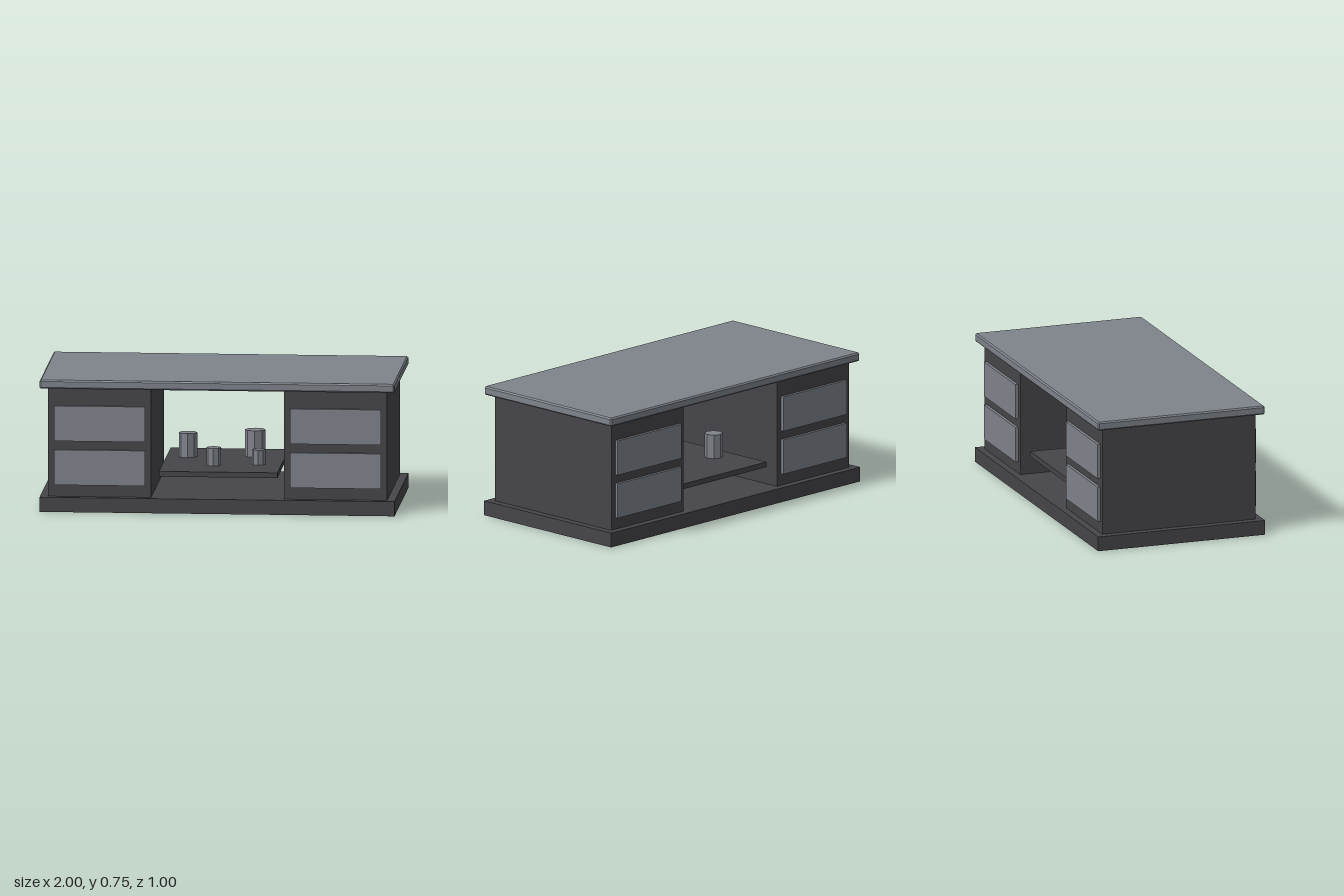
import * as THREE from 'three';
import { ConvexGeometry } from 'three/addons/geometries/ConvexGeometry.js';

// Box with a flat chamfer on every edge
function chamferedBox(w, h, d, c) {
  const half = [w / 2, h / 2, d / 2];
  const points = [];
  for (const sx of [-1, 1]) for (const sy of [-1, 1]) for (const sz of [-1, 1])
    for (let axis = 0; axis < 3; axis++) {
      const p = half.map((v, i) => (i === axis ? v : v - c));
      points.push(new THREE.Vector3(p[0] * sx, p[1] * sy, p[2] * sz));
    }
  return new ConvexGeometry(points);
}

export function createModel() {
  const model = new THREE.Group();
  model.name = 'coffeeTable';

  const darkWood = new THREE.MeshStandardMaterial({ color: 0x464549 });
  darkWood.name = 'darkCharcoal';
  const greyPanel = new THREE.MeshStandardMaterial({ color: 0x7f838b });
  greyPanel.name = 'slateGrey';

  const add = (name, geometry, material, x, y, z) => {
    const mesh = new THREE.Mesh(geometry, material);
    mesh.name = name;
    mesh.position.set(x, y, z);
    model.add(mesh);
    return mesh;
  };
  const box = (name, material, w, h, d, x, y, z) =>
    add(name, new THREE.BoxGeometry(w, h, d), material, x, y, z);

  // Plinth and bevelled table top
  box('base', darkWood, 2, 0.083, 1, 0, 0.0415, 0);
  add('tableTop', chamferedBox(2, 0.05, 1, 0.008), greyPanel, 0, 0.725, 0);

  // Cabinets with two drawer fronts on both long sides
  for (const side of [-1, 1]) {
    const name = side > 0 ? 'left' : 'right';
    box(name + 'Cabinet', darkWood, 0.58, 0.618, 0.916, side * 0.665, 0.392, 0);
    for (const face of [-1, 1])
      for (const y of [0.25, 0.5])
        box(name + 'Drawer', greyPanel, 0.513, 0.2, 0.018, side * 0.665, y, face * 0.466);
  }

  // Open middle shelf
  box('shelf', darkWood, 0.667, 0.03, 0.83, 0, 0.21, 0);

  // Faceted cups on the shelf: [x, z, radius, height]
  const cups = [
    [-0.212, -0.12, 0.052, 0.137],
    [-0.045, 0.165, 0.042, 0.1],
    [0.163, -0.17, 0.058, 0.15],
    [0.205, 0.12, 0.038, 0.085],
  ];
  for (const [x, z, r, h] of cups) {
    const geometry = new THREE.CylinderGeometry(r, r, h, 8).toNonIndexed();
    geometry.computeVertexNormals();
    add('cup', geometry, greyPanel, x, 0.225 + h / 2, z);
  }

  return model;
}
